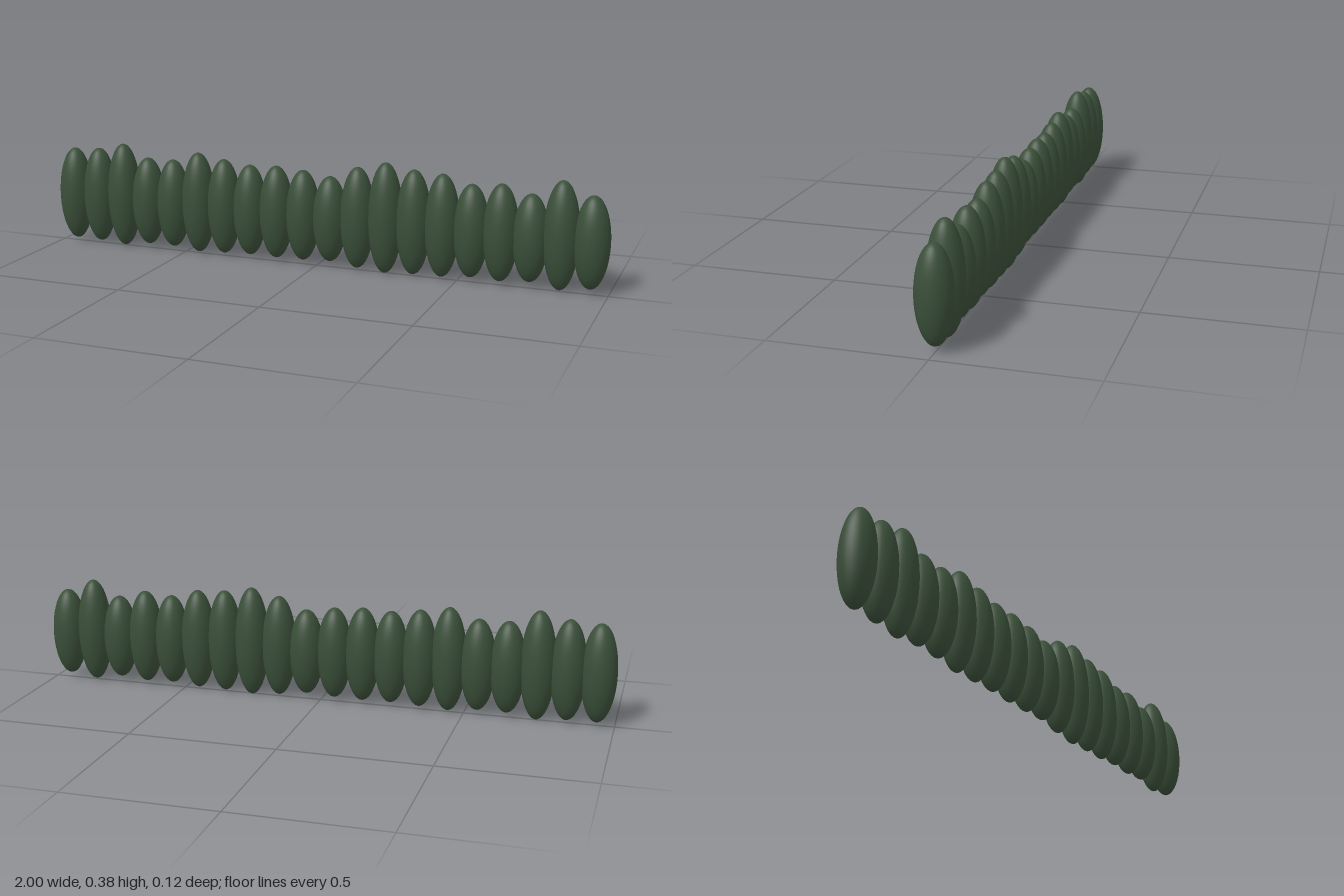
import * as THREE from 'three';

// Top height of each bush, from right (-x) to left (+x)
const TOPS = [0.349, 0.355, 0.377, 0.334, 0.334, 0.366, 0.35, 0.338, 0.342, 0.335,
  0.321, 0.361, 0.384, 0.367, 0.361, 0.335, 0.344, 0.319, 0.371, 0.33];
const RADIUS = 0.059;

export function createModel() {
  const hedge = new THREE.Group();
  hedge.name = 'hedge';
  const leafGreen = new THREE.MeshStandardMaterial({ color: 0x3a4f39 });
  leafGreen.name = 'leafGreen';
  const ball = new THREE.SphereGeometry(1, 32, 24);

  // Row of overlapping upright bushes; taller ones also sit slightly higher
  const span = 1 - RADIUS;
  TOPS.forEach((top, i) => {
    const half = (top - 0.0975) / 1.5;
    const bush = new THREE.Mesh(ball, leafGreen);
    bush.name = `bush${i + 1}`;
    bush.scale.set(RADIUS, half, RADIUS);
    bush.position.set(-span + (2 * span * i) / (TOPS.length - 1), top - half, 0);
    hedge.add(bush);
  });
  return hedge;
}
